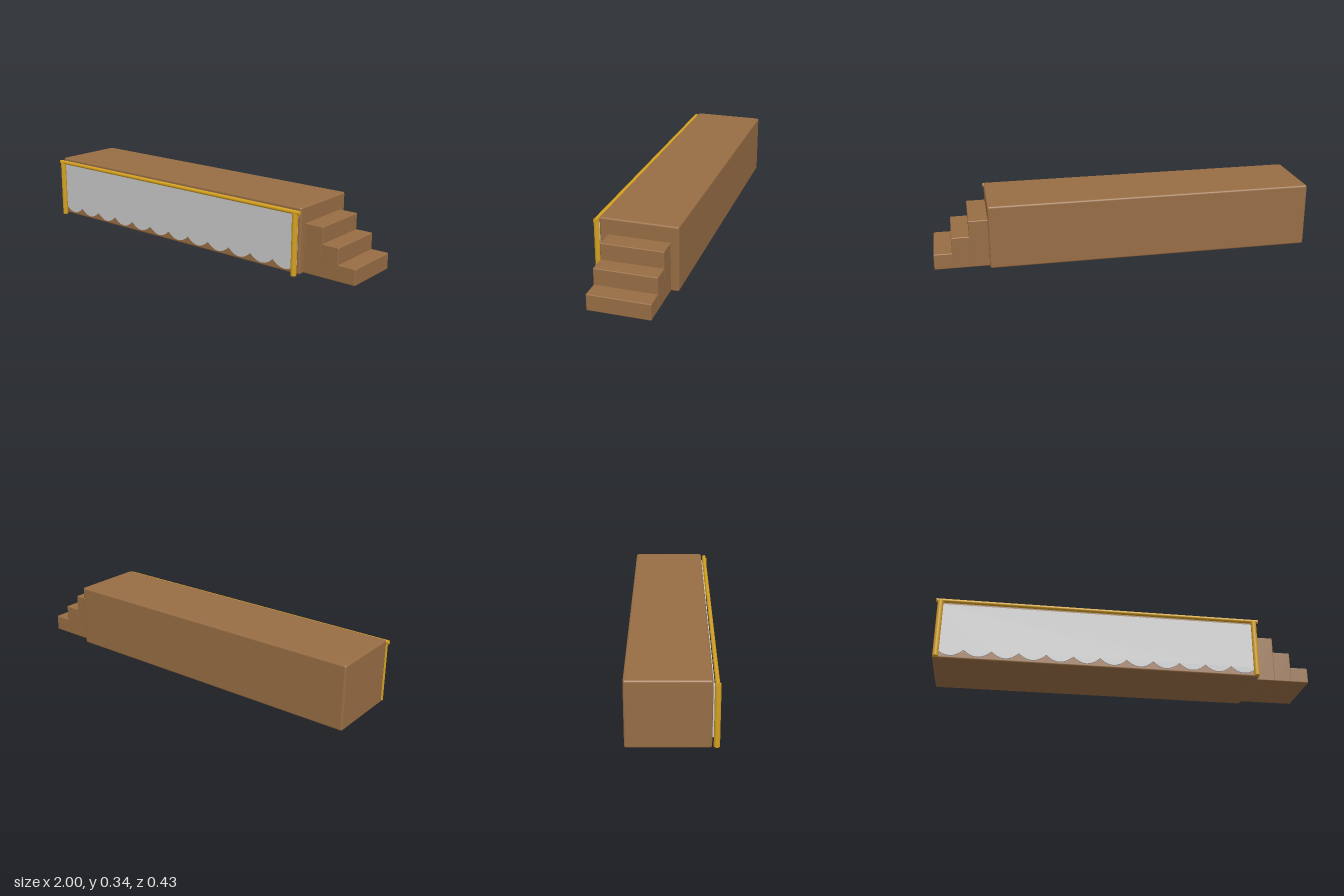
import * as THREE from 'three';
import { RoundedBoxGeometry } from 'three/addons/geometries/RoundedBoxGeometry.js';

export function createModel() {
  const group = new THREE.Group();
  const mat = (name, color) => {
    const m = new THREE.MeshStandardMaterial({ color });
    m.name = name;
    return m;
  };
  const wood = mat('brown wood', 0x976d44);
  const gold = mat('gold', 0xd4a020);
  const cloth = mat('grey cloth', 0xc8c8c8);

  const add = (name, geometry, material, x, y, z) => {
    const mesh = new THREE.Mesh(geometry, material);
    mesh.name = name;
    mesh.position.set(x, y, z);
    group.add(mesh);
    return mesh;
  };
  // Rounded block given by its extents
  const block = (name, x0, x1, y1, z0, z1, r) =>
    add(name, new RoundedBoxGeometry(x1 - x0, y1, z1 - z0, 3, r), wood,
      (x0 + x1) / 2, y1 / 2, (z0 + z1) / 2);

  // Platform and the three steps at its left end
  block('platform', -0.996, 0.716, 0.339, -0.215, 0.18, 0.01);
  const edges = [0.716, 0.815, 0.906, 1.0];
  for (let i = 0; i < 3; i++) {
    block('step', edges[i] - 0.004, edges[i + 1], 0.255 - i * 0.085, -0.175, 0.14, 0.005);
  }

  // Curtain with a scalloped lower hem
  const x0 = -0.98, pitch = 0.14, count = 12;
  const shape = new THREE.Shape();
  shape.moveTo(x0, 0.305);
  shape.lineTo(x0, 0.05);
  for (let i = 0; i < count; i++) {
    const x = x0 + i * pitch;
    shape.quadraticCurveTo(x + pitch / 2, -0.018, x + pitch, 0.05);
  }
  shape.lineTo(x0 + count * pitch, 0.305);
  shape.closePath();
  add('curtain', new THREE.ExtrudeGeometry(shape, { depth: 0.006, bevelEnabled: false, curveSegments: 12 }),
    cloth, 0, 0, 0.181);

  // Gold posts and top rail
  for (const x of [-0.977, 0.695]) {
    add('post', new THREE.CylinderGeometry(0.0145, 0.0145, 0.316, 24), gold, x, 0.158, 0.2015);
  }
  const rail = add('rail', new THREE.CylinderGeometry(0.0105, 0.0105, 1.72, 20), gold, -0.14, 0.318, 0.199);
  rail.rotation.z = Math.PI / 2;

  return group;
}
